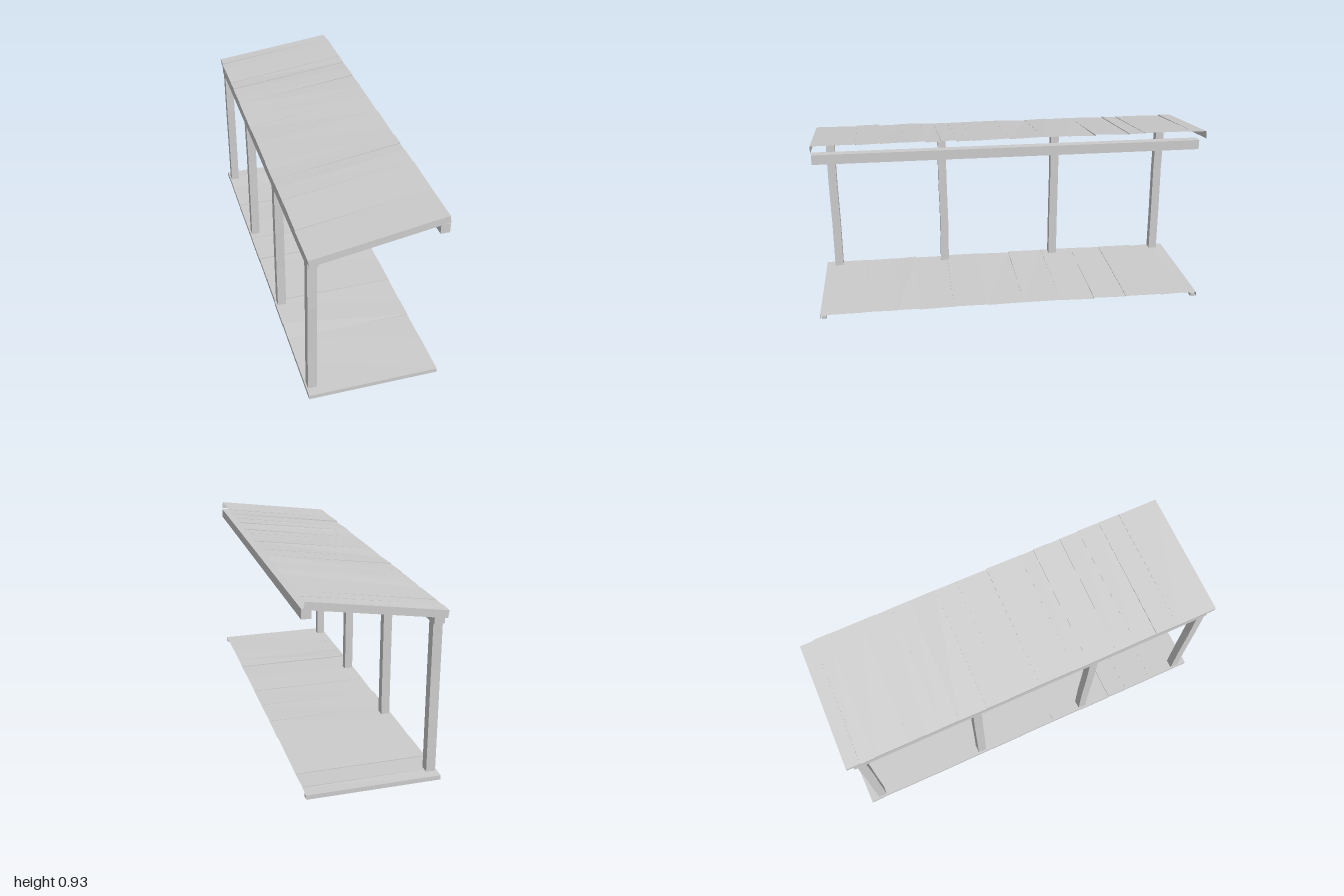
import * as THREE from 'three';

const wood = new THREE.MeshStandardMaterial({ color: 0xcccccc, flatShading: true, side: THREE.DoubleSide });

// Small seeded generator for the uneven hand-cut look
function seeded(s) {
  return () => (s = (s * 16807) % 2147483647) / 2147483647;
}

function add(group, name, geometry) {
  const mesh = new THREE.Mesh(geometry, wood);
  mesh.name = name;
  group.add(mesh);
  return mesh;
}

// Box given by its limits on each axis
function beam(group, name, x0, x1, y0, y1, z0, z1) {
  const g = new THREE.BoxGeometry(x1 - x0, y1 - y0, z1 - z0);
  g.translate((x0 + x1) / 2, (y0 + y1) / 2, (z0 + z1) / 2);
  return add(group, name, g);
}

// Boards laid side by side along z: open underneath and at the +x edge,
// with a turned-down lip at both ends and along the -x edge
function boards({ backY, frontY, backZ, frontZ, drop, lean, seed }) {
  const rand = seeded(seed);
  const pos = [];
  const quad = (a, b, c, d) => [a, b, c, a, c, d].forEach((p) => pos.push(...p));
  const down = ([x, y, z]) => [x + lean, y - drop, z];

  // Irregular board edges from -1 to 1
  const edges = [-1];
  while (edges[edges.length - 1] < 0.86) edges.push(edges[edges.length - 1] + 0.07 + rand() * 0.13);
  edges[edges.length - 1] = 1;

  let previous = null;
  for (let i = 0; i < edges.length - 1; i++) {
    const x0 = -0.325 + rand() * 0.004, x1 = 0.322 - rand() * 0.003;
    const first = i === 0, last = i === edges.length - 2;
    const lift = () => (rand() - 0.4) * 0.007;
    const h = [first ? 0 : lift(), first ? 0 : lift(), last ? 0 : lift(), last ? 0 : lift()];
    const a = [x0, backY + h[0], edges[i] * backZ];
    const b = [x1, frontY + h[1], edges[i] * frontZ];
    const c = [x1, frontY + h[2], edges[i + 1] * frontZ];
    const d = [x0, backY + h[3], edges[i + 1] * backZ];
    quad(a, d, c, b);
    quad(a, down(a), down(d), d);
    if (first) quad(a, b, down(b), down(a));
    if (last) quad(c, d, down(d), down(c));
    // Step between neighbouring boards
    if (previous) quad(previous[0], previous[1], b, a);
    previous = [d, c];
  }
  const g = new THREE.BufferGeometry();
  g.setAttribute('position', new THREE.Float32BufferAttribute(pos, 3));
  g.computeVertexNormals();
  return g;
}

export function createModel() {
  const model = new THREE.Group();
  model.name = 'openShelter';

  // Floor deck and the battens under its edges
  add(model, 'floorBoards', boards({
    backY: 0.022, frontY: 0.022, backZ: 1, frontZ: 1, drop: 0.022, lean: 0, seed: 41,
  }));
  for (const s of [-1, 1]) {
    beam(model, 'floorBatten', -0.315, 0.322, 0, 0.018, s * 0.98 - 0.012, s * 0.98 + 0.012);
  }
  beam(model, 'floorEdge', -0.322, -0.312, 0, 0.018, -0.965, 0.965);

  // Four slightly crooked posts along the back
  const rand = seeded(77);
  for (const z of [-0.93, -0.32, 0.32, 0.93]) {
    const g = new THREE.BoxGeometry(0.045, 0.8, 0.045, 1, 3, 1);
    const p = g.attributes.position;
    const shifts = Array.from({ length: 4 }, () => [(rand() - 0.5) * 0.003, (rand() - 0.5) * 0.005]);
    for (let i = 0; i < p.count; i++) {
      const [dx, dz] = shifts[Math.round((p.getY(i) + 0.4) / 0.8 * 3)];
      p.setX(i, p.getX(i) + dx);
      p.setZ(i, p.getZ(i) + dz);
    }
    g.computeVertexNormals();
    add(model, 'post', g).position.set(-0.292, 0.402, z);
  }

  // Beams carrying the roof
  beam(model, 'backBeam', -0.317, -0.268, 0.765, 0.806, -0.968, 0.963);
  beam(model, 'frontBeam', 0.28, 0.325, 0.836, 0.884, -0.942, 0.975);

  // Sloping roof, rising towards +x
  add(model, 'roofBoards', boards({
    backY: 0.836, frontY: 0.927, backZ: 1, frontZ: 0.978, drop: 0.036, lean: 0.005, seed: 905,
  }));

  return model;
}
